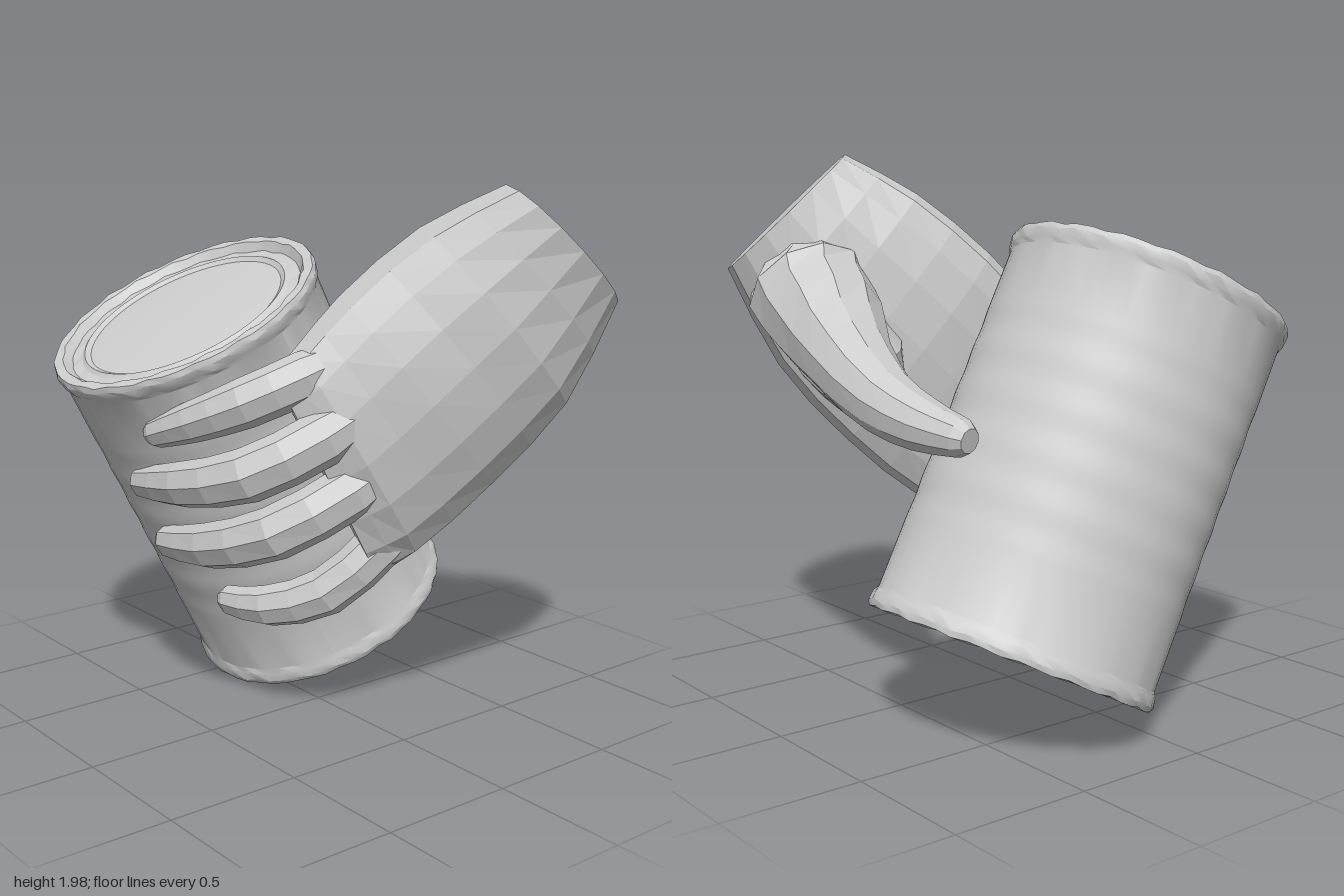
import * as THREE from 'three';
import { toCreasedNormals } from 'three/addons/utils/BufferGeometryUtils.js';

const V = (a) => new THREE.Vector3(a[0], a[1], a[2]);
const grey = (extra = {}) => new THREE.MeshStandardMaterial({ color: 0xcccccc, ...extra });

// Skin a list of equal-sized rings (counterclockwise about the travel direction) and cap both ends
function loft(rings) {
  const n = rings[0].length, pos = [], idx = [];
  const put = (p) => pos.push(p.x, p.y, p.z);
  rings.forEach((r) => r.forEach(put));
  for (let i = 0; i < rings.length - 1; i++) for (let j = 0; j < n; j++) {
    const k = (j + 1) % n, a = i * n + j, b = i * n + k, c = a + n, d = b + n;
    idx.push(a, b, d, a, d, c);
  }
  [0, rings.length - 1].forEach((e, side) => {
    const mid = new THREE.Vector3();
    rings[e].forEach((p) => mid.addScaledVector(p, 1 / n));
    const m = pos.length / 3;
    put(mid);
    for (let j = 0; j < n; j++) {
      const a = e * n + j, b = e * n + (j + 1) % n;
      side ? idx.push(m, a, b) : idx.push(m, b, a);
    }
  });
  const g = new THREE.BufferGeometry();
  g.setAttribute('position', new THREE.Float32BufferAttribute(pos, 3));
  g.setIndex(idx);
  g.computeVertexNormals();
  return g;
}

// Digit along [x, y, z, radius] stations, with a blunt rounded tip
function digit(stations, up, sides = 8, flat = 0.9) {
  const curve = new THREE.CatmullRomCurve3(stations.map(V));
  const steps = (stations.length - 1) * 2, rings = [];
  const addRing = (t, r, push) => {
    const T = curve.getTangent(t);
    const c = curve.getPoint(t).addScaledVector(T, push);
    const N = new THREE.Vector3().crossVectors(up, T).normalize();
    const B = new THREE.Vector3().crossVectors(T, N);
    rings.push(Array.from({ length: sides }, (_, j) => {
      const q = ((j + 0.5) / sides) * Math.PI * 2;
      return c.clone().addScaledVector(N, r * flat * Math.cos(q)).addScaledVector(B, r * Math.sin(q));
    }));
  };
  let r = 0;
  for (let i = 0; i <= steps; i++) {
    const f = i / 2, k = Math.min(Math.floor(f), stations.length - 2);
    r = THREE.MathUtils.lerp(stations[k][3], stations[k + 1][3], f - k);
    addRing(i / steps, r, 0);
  }
  addRing(1, r * 0.65, r * 0.55);
  return loft(rings);
}

// Palm: rings spanned between the index-side edge and the little-finger-side edge
function palmGeometry() {
  const sections = [ // index edge, little-finger edge, back bulge, inner bulge
    [[0.66, 1.99, -0.28], [0.73, 1.565, -0.76], 0.25, 0.25],
    [[0.42, 1.84, -0.11], [0.65, 1.20, -0.60], 0.29, 0.20],
    [[0.29, 1.61, 0.14], [0.51, 0.91, -0.39], 0.265, 0.18],
    [[0.25, 1.44, 0.30], [0.40, 0.67, -0.13], 0.20, 0.14],
    [[0.23, 1.36, 0.38], [0.36, 0.60, 0.02], 0.11, 0.08],
  ];
  const edgeA = new THREE.CatmullRomCurve3(sections.map((s) => V(s[0])));
  const edgeB = new THREE.CatmullRomCurve3(sections.map((s) => V(s[1])));
  const back = new THREE.Vector3(0.87, 0, 0.48), rings = [], steps = 8, sides = 16;
  for (let i = 0; i <= steps; i++) {
    const t = i / steps, f = t * 4, k = Math.min(Math.floor(f), 3);
    const mix = (c) => THREE.MathUtils.lerp(sections[k][c], sections[k + 1][c], f - k);
    const A = edgeA.getPoint(t), B = edgeB.getPoint(t);
    const mid = A.clone().add(B).multiplyScalar(0.5), half = B.clone().sub(A).multiplyScalar(0.5);
    rings.push(Array.from({ length: sides }, (_, j) => {
      const q = (j / sides) * Math.PI * 2, s = Math.sin(q);
      return mid.clone().addScaledVector(half, Math.cos(q))
        .addScaledVector(back, Math.sign(s) * Math.abs(s) ** 0.9 * mix(s > 0 ? 2 : 3));
    }));
  }
  return loft(rings);
}

// Can: lathed profile with rims, recessed ends and shallow ribs
function canGeometry() {
  const h = 0.71, pts = [[0, -h + 0.03], [0.42, -h + 0.03], [0.44, -h + 0.04], [0.475, -h + 0.03],
    [0.49, -h], [0.52, -h], [0.527, -h + 0.02], [0.522, -h + 0.05], [0.512, -h + 0.07]];
  for (let i = 0; i <= 40; i++) {
    const y = -0.38 + (i / 40) * 0.8;
    pts.push([0.512 - 0.003 * (0.5 - 0.5 * Math.cos((i / 40) * Math.PI * 10)), y]);
  }
  pts.push([0.512, h - 0.07], [0.522, h - 0.05], [0.527, h - 0.02], [0.52, h], [0.485, h],
    [0.46, h - 0.03], [0.42, h - 0.028], [0.405, h - 0.018], [0.385, h - 0.03], [0.34, h - 0.025], [0, h - 0.025]);
  const g = new THREE.LatheGeometry(pts.map((p) => new THREE.Vector2(p[0], p[1])), 56);
  // slight hammered unevenness around both rims
  const p = g.attributes.position;
  for (let i = 0; i < p.count; i++) {
    const x = p.getX(i), y = p.getY(i), z = p.getZ(i), r = Math.hypot(x, z);
    if (Math.abs(y) < 0.65 || r < 0.45) continue;
    const a = Math.round(Math.atan2(z, x) * 56 / (Math.PI * 2) + 56) % 56;
    const k = 1 + 0.004 * Math.sin(a * 2.7 + y * 90);
    p.setXYZ(i, x * k, y + 0.004 * Math.sin(a * 4.1 + r * 60), z * k);
  }
  return toCreasedNormals(g, 0.5);
}

export function createModel() {
  const model = new THREE.Group();
  model.name = 'handHoldingCan';
  const add = (parent, name, geometry, material) => {
    const m = new THREE.Mesh(geometry, material);
    m.name = name;
    parent.add(m);
    return m;
  };

  // Tilted can
  const can = add(model, 'can', canGeometry(), grey());
  can.position.set(-0.4, 0.88, 0.005);
  can.rotation.x = 0.477;

  // Hand
  const hand = new THREE.Group();
  hand.name = 'hand';
  model.add(hand);
  const skin = grey({ flatShading: true });
  add(hand, 'palmAndWrist', palmGeometry(), skin);

  // Fingers, root to tip; the roots are buried in the palm
  const fingers = {
    indexFinger: [[0.39, 1.45, 0.05, 0.05], [0.31, 1.35, 0.30, 0.092], [0.19, 1.26, 0.47, 0.09],
      [0.02, 1.18, 0.57, 0.075], [-0.14, 1.12, 0.62, 0.056]],
    middleFinger: [[0.45, 1.30, 0.0, 0.05], [0.39, 1.15, 0.28, 0.10], [0.235, 1.02, 0.49, 0.1],
      [-0.04, 0.945, 0.575, 0.086], [-0.31, 0.90, 0.575, 0.062]],
    ringFinger: [[0.46, 1.10, -0.1, 0.05], [0.405, 0.95, 0.17, 0.10], [0.25, 0.80, 0.39, 0.1],
      [-0.04, 0.70, 0.47, 0.088], [-0.31, 0.655, 0.47, 0.065]],
    littleFinger: [[0.45, 0.92, -0.18, 0.05], [0.38, 0.73, 0.0, 0.09], [0.25, 0.54, 0.16, 0.092],
      [0.06, 0.46, 0.28, 0.08], [-0.13, 0.44, 0.32, 0.06]],
  };
  const up = new THREE.Vector3(0, 0.89, 0.46);
  for (const [name, path] of Object.entries(fingers)) add(hand, name, digit(path, up), skin);

  // Thumb reaching round the back of the can
  add(hand, 'thumb', digit([[0.64, 1.64, -0.54, 0.13], [0.51, 1.49, -0.545, 0.23], [0.32, 1.38, -0.575, 0.205],
    [0.10, 1.27, -0.63, 0.155], [-0.18, 1.155, -0.67, 0.115], [-0.38, 1.10, -0.655, 0.092],
    [-0.54, 1.075, -0.625, 0.066]], up, 10, 1), skin);

  // Fleshy web joining thumb and palm
  add(hand, 'thumbWeb', digit([[0.58, 1.34, -0.40, 0.2], [0.42, 1.25, -0.42, 0.2], [0.26, 1.20, -0.48, 0.165],
    [0.09, 1.20, -0.59, 0.11]], up, 10, 1), skin);
  return model;
}
